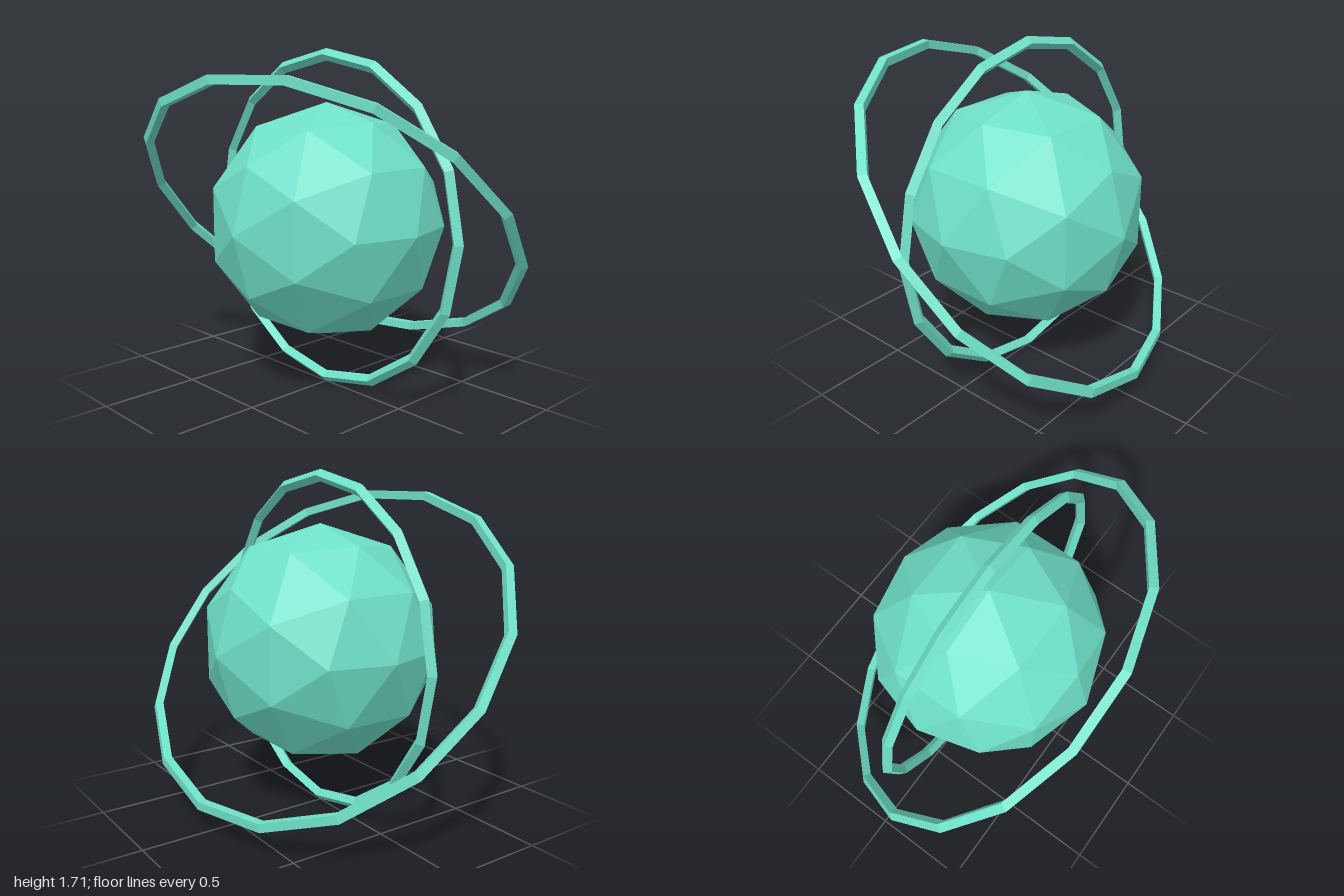
import * as THREE from 'three';

const CENTER_Y = 0.855;

export function createModel() {
  const model = new THREE.Group();
  model.name = 'ringedPlanet';
  const material = new THREE.MeshStandardMaterial({ color: 0x6fe0c8, flatShading: true });

  const addPart = (name, geometry) => {
    const mesh = new THREE.Mesh(geometry, material);
    mesh.name = name;
    mesh.position.y = CENTER_Y;
    model.add(mesh);
    return mesh;
  };

  // Rings are 16-sided with a diamond cross-section
  const ring = (radius) => new THREE.TorusGeometry(radius, 0.03, 4, 16);

  // Faceted globe
  addPart('planet', new THREE.IcosahedronGeometry(0.594, 1));

  // Upright inner ring
  addPart('innerRing', ring(0.824));

  // Tilted outer ring
  addPart('outerRing', ring(0.99)).rotation.set(0.775, 0.2, 0);

  return model;
}
